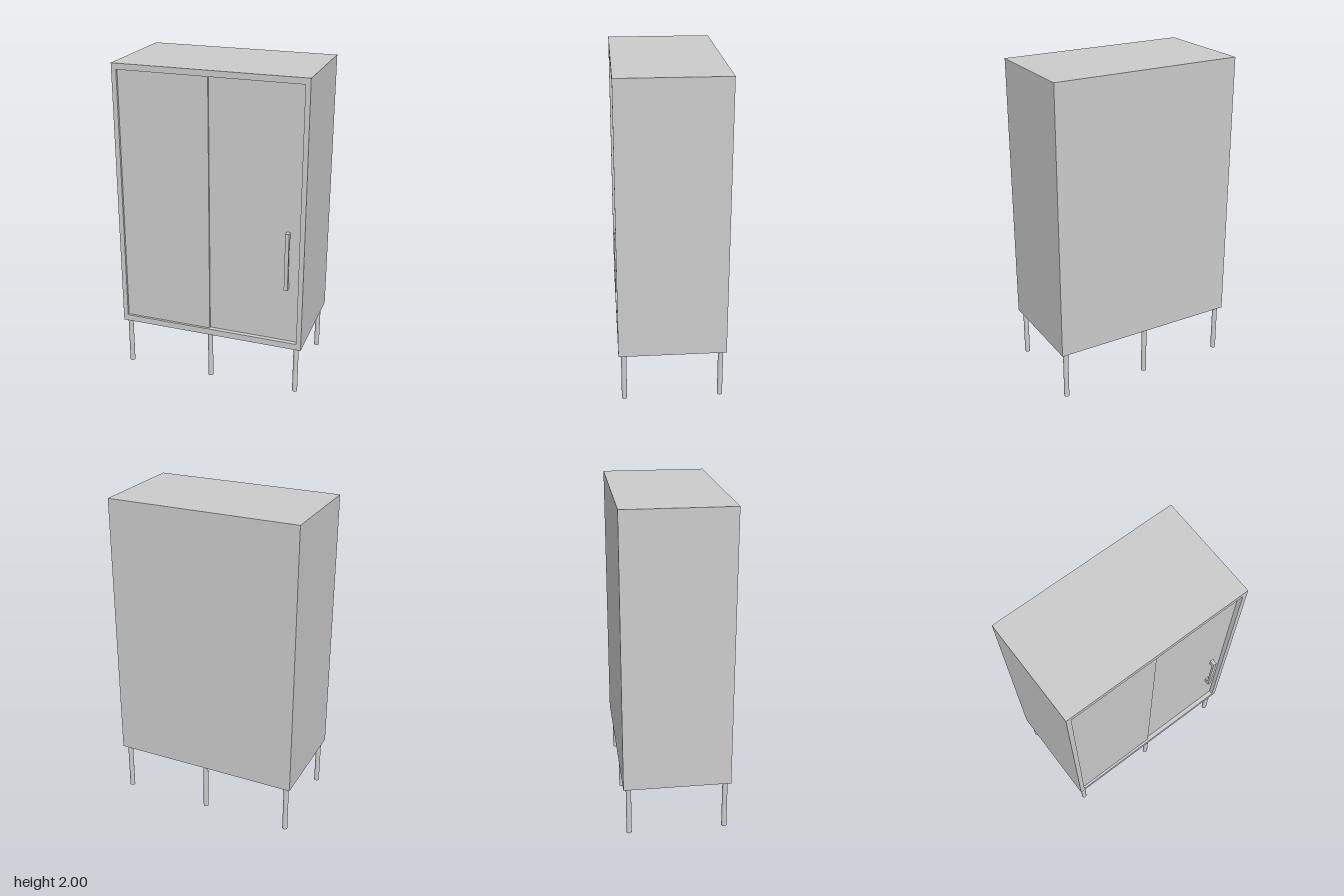
import * as THREE from 'three';

export function createModel() {
  const group = new THREE.Group();
  const material = new THREE.MeshStandardMaterial({ color: 0xcccccc });

  const add = (name, geometry, x = 0, y = 0, z = 0) => {
    const mesh = new THREE.Mesh(geometry, material);
    mesh.name = name;
    mesh.position.set(x, y, z);
    group.add(mesh);
    return mesh;
  };
  // Box given by its minimum and maximum corners
  const addBox = (name, [x0, y0, z0], [x1, y1, z1]) =>
    add(name, new THREE.BoxGeometry(x1 - x0, y1 - y0, z1 - z0),
      (x0 + x1) / 2, (y0 + y1) / 2, (z0 + z1) / 2);

  const W = 0.593, bottom = 0.312, top = 2, back = -0.33, front = 0.323;
  const inX = 0.563, inBottom = 0.352, inTop = 1.963;

  // Carcass: a rectangular tube open at the front, closed by a back panel
  const outline = new THREE.Shape([
    new THREE.Vector2(-W, bottom), new THREE.Vector2(W, bottom),
    new THREE.Vector2(W, top), new THREE.Vector2(-W, top),
  ]);
  outline.holes.push(new THREE.Path([
    new THREE.Vector2(-inX, inBottom), new THREE.Vector2(-inX, inTop),
    new THREE.Vector2(inX, inTop), new THREE.Vector2(inX, inBottom),
  ]));
  add('carcass', new THREE.ExtrudeGeometry(outline, { depth: front - back, bevelEnabled: false }), 0, 0, back);
  addBox('backPanel', [-inX, inBottom, back], [inX, inTop, back + 0.02]);

  // Sliding doors on two tracks, the right-hand one set further back
  addBox('frontDoor', [-inX, inBottom, 0.296], [-0.003, inTop, 0.308]);
  addBox('rearDoor', [-0.02, inBottom, 0.28], [inX, inTop, 0.295]);

  // Bar handle on two end posts
  const h0 = 0.71, h1 = 1.077, hx0 = 0.477, hx1 = 0.5;
  addBox('handleBar', [hx0, h0, 0.315], [hx1, h1, 0.329]);
  for (const y of [h0, h1 - 0.04]) addBox('handlePost', [hx0, y, 0.295], [hx1, y + 0.04, 0.315]);

  // Six round legs
  const legGeometry = new THREE.CylinderGeometry(0.016, 0.016, bottom, 24);
  for (const x of [-0.56, -0.004, 0.557])
    for (const z of [-0.298, 0.291]) add('leg', legGeometry, x, bottom / 2, z);

  return group;
}
